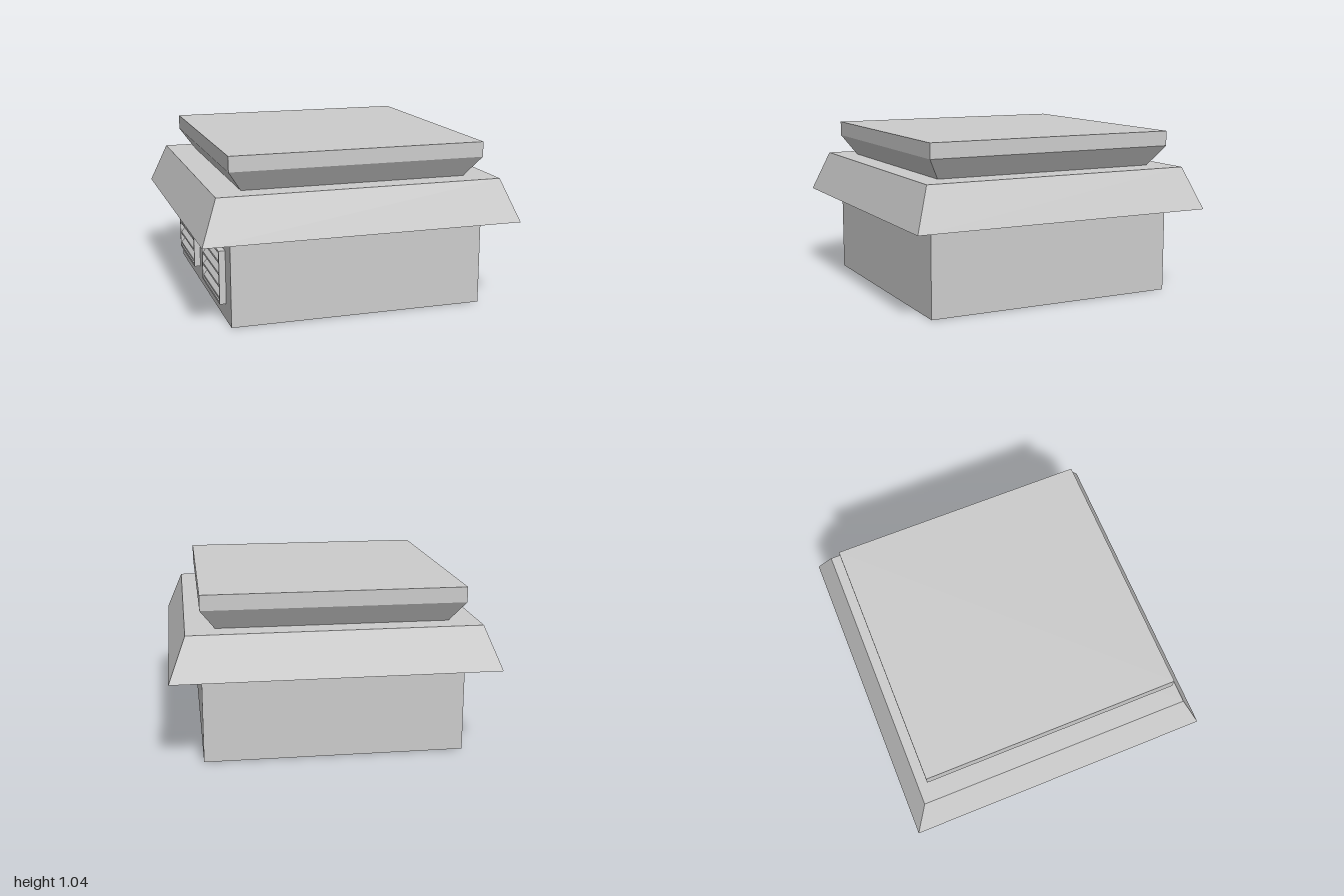
import * as THREE from 'three';

const material = new THREE.MeshStandardMaterial({ color: 0xcccccc, flatShading: true });

// Box between two heights whose half sizes differ at the bottom and the top
function taperedBlock(name, y0, [x0, z0], y1, [x1, z1]) {
  const geometry = new THREE.BoxGeometry(2, 2, 2);
  const p = geometry.attributes.position;
  for (let i = 0; i < p.count; i++) {
    const top = p.getY(i) > 0;
    p.setXYZ(i, p.getX(i) * (top ? x1 : x0), top ? y1 : y0, p.getZ(i) * (top ? z1 : z0));
  }
  geometry.computeVertexNormals();
  const mesh = new THREE.Mesh(geometry, material);
  mesh.name = name;
  return mesh;
}

function box(name, w, h, d, x, y, z) {
  const mesh = new THREE.Mesh(new THREE.BoxGeometry(w, h, d), material);
  mesh.name = name;
  mesh.position.set(x, y, z);
  return mesh;
}

// Louvred vent: a frame around slats that slope outwards and down
function createVent(z) {
  const vent = new THREE.Group();
  vent.name = 'vent';
  const wall = -0.805, depth = 0.04, width = 0.54, bottom = 0.105, height = 0.335, rim = 0.015;
  const x = wall - depth / 2, midY = bottom + height / 2;
  for (const s of [-1, 1]) {
    vent.add(box('ventSide', depth, height, rim, x, midY, s * (width - rim) / 2));
    vent.add(box('ventRail', depth, rim, width - 2 * rim, x, midY + s * (height - rim) / 2, 0));
  }

  const count = 4, pitch = (height - 2 * rim) / count;
  const profile = new THREE.Shape([
    new THREE.Vector2(0, 0.06), new THREE.Vector2(-0.034, 0.018),
    new THREE.Vector2(-0.034, 0.004), new THREE.Vector2(0, 0.046),
  ]);
  const slat = new THREE.ExtrudeGeometry(profile, { depth: width - 2 * rim, bevelEnabled: false });
  slat.translate(wall, 0, -width / 2 + rim);
  for (let i = 0; i < count; i++) {
    const mesh = new THREE.Mesh(slat, material);
    mesh.name = 'ventSlat';
    mesh.position.y = bottom + rim + i * pitch;
    vent.add(mesh);
  }
  vent.position.z = z;
  return vent;
}

export function createModel() {
  const model = new THREE.Group();
  model.name = 'rooftopUnit';

  // Stacked square housing
  model.add(taperedBlock('body', 0, [0.805, 0.82], 0.55, [0.805, 0.82]));
  model.add(taperedBlock('skirt', 0.55, [1, 0.98], 0.815, [0.895, 0.88]));
  model.add(taperedBlock('neck', 0.815, [0.715, 0.735], 0.945, [0.805, 0.82]));
  model.add(taperedBlock('lid', 0.945, [0.805, 0.82], 1.04, [0.805, 0.82]));

  // Pair of vents on the right side
  for (const s of [-1, 1]) model.add(createVent(s * 0.41));
  return model;
}
